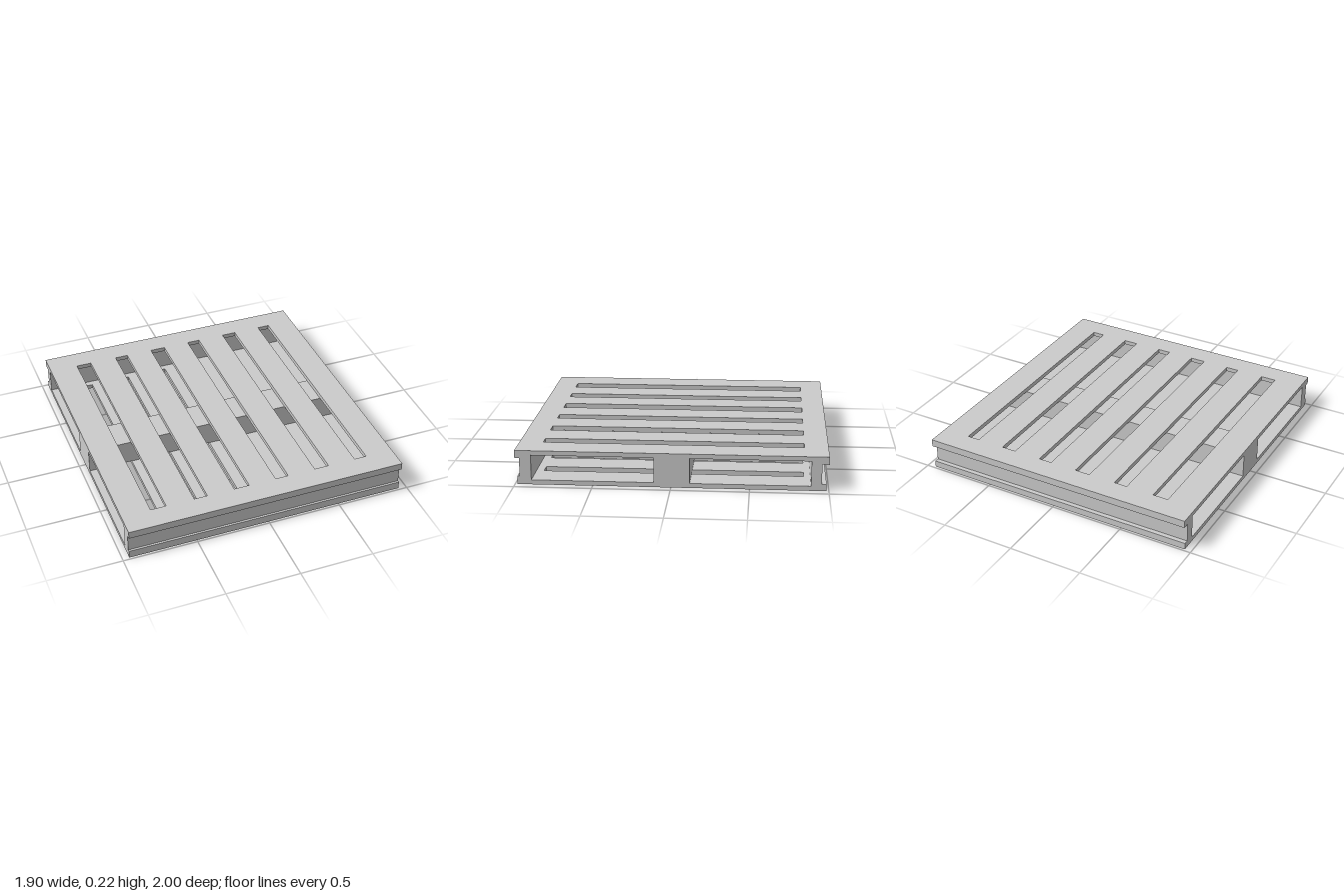
import * as THREE from 'three';

const X0 = -0.955, X1 = 0.945;
const material = new THREE.MeshStandardMaterial({ color: 0xcccccc, flatShading: true });

// Slots between the deck boards, as [left edge, right edge]
const slots = [[-0.76, -0.655], [-0.465, -0.375], [-0.19, -0.085],
  [0.1, 0.19], [0.38, 0.48], [0.67, 0.755]];

function rectangle(target, x0, x1, y0, y1) {
  target.moveTo(x0, y0);
  target.lineTo(x1, y0);
  target.lineTo(x1, y1);
  target.lineTo(x0, y1);
  target.closePath();
  return target;
}

// Slotted deck lying flat between two heights
function deck(name, y0, y1, halfDepth) {
  const shape = rectangle(new THREE.Shape(), X0, X1, -halfDepth, halfDepth);
  for (const [a, b] of slots) {
    shape.holes.push(rectangle(new THREE.Path(), a, b, -0.845, 0.845));
  }
  const geometry = new THREE.ExtrudeGeometry(shape, { depth: y1 - y0, bevelEnabled: false });
  geometry.rotateX(-Math.PI / 2).translate(0, y0, 0);
  const mesh = new THREE.Mesh(geometry, material);
  mesh.name = name;
  return mesh;
}

// Beam running across the full width
function beam(name, y0, y1, z0, z1) {
  const geometry = new THREE.BoxGeometry(X1 - X0, y1 - y0, z1 - z0);
  geometry.translate((X0 + X1) / 2, (y0 + y1) / 2, (z0 + z1) / 2);
  const mesh = new THREE.Mesh(geometry, material);
  mesh.name = name;
  return mesh;
}

export function createModel() {
  const group = new THREE.Group();
  group.name = 'pallet';

  group.add(deck('topDeck', 0.195, 0.225, 1));
  group.add(deck('bottomDeck', 0, 0.03, 0.985));
  group.add(beam('centreBeam', 0.03, 0.195, -0.12, 0.11));

  // End beams with overhanging lips above and below
  group.add(beam('frontBeam', 0.03, 0.195, 0.895, 0.97));
  group.add(beam('frontUpperLip', 0.175, 0.195, 0.97, 1));
  group.add(beam('frontLowerLip', 0.03, 0.053, 0.97, 0.985));
  group.add(beam('backBeam', 0.03, 0.195, -0.955, -0.888));
  group.add(beam('backUpperLip', 0.175, 0.195, -1, -0.955));
  group.add(beam('backLowerLip', 0.03, 0.045, -0.985, -0.955));
  return group;
}
